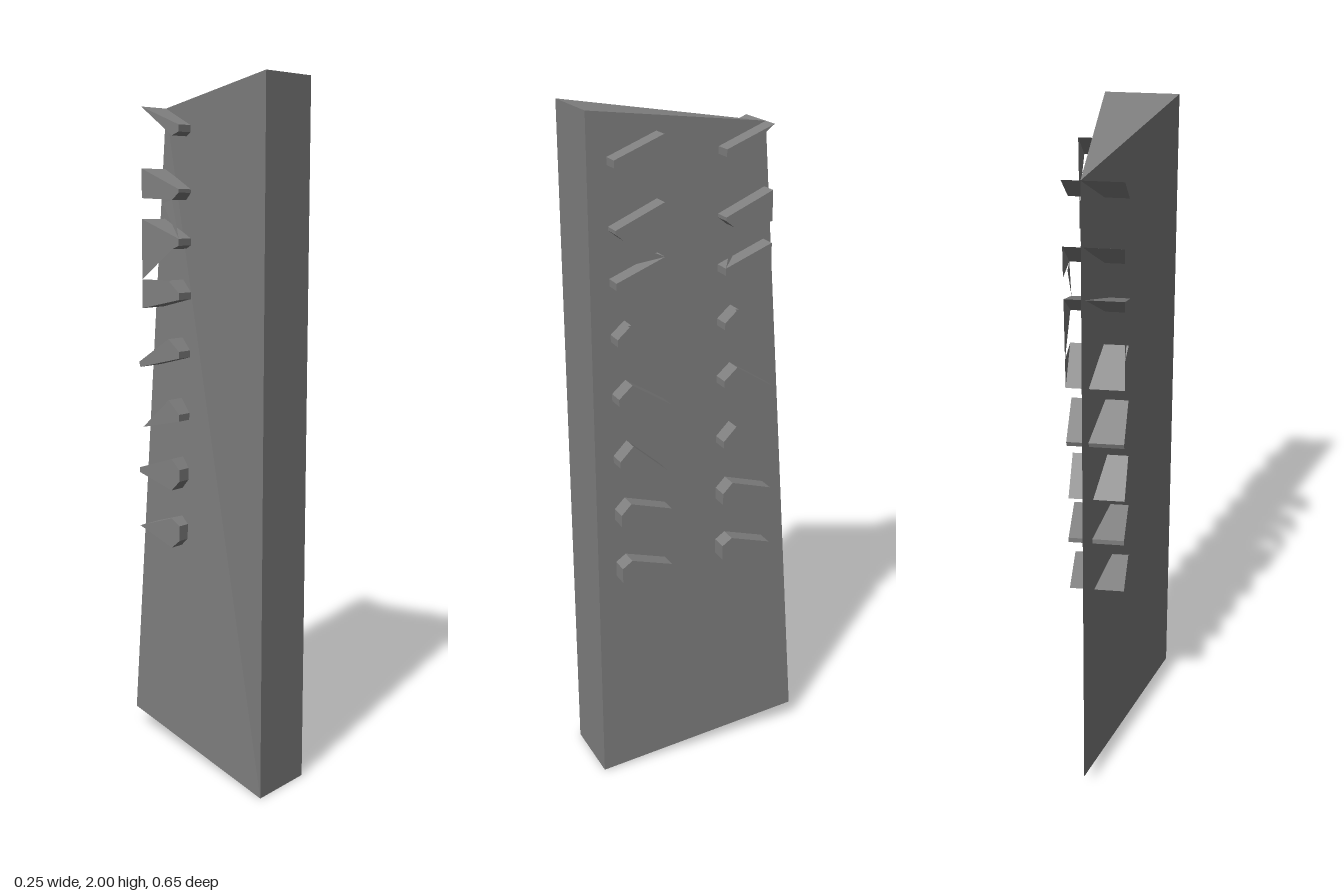
import * as THREE from 'three';

const stone = new THREE.MeshStandardMaterial({ color: 0x808080, side: THREE.DoubleSide });
stone.name = 'plain grey';

// Side outlines of the pegs as [z, y], top to bottom
const PEGS = [
  [[0.27, 1.88], [0.13, 1.935], [0.245, 1.85], [0.27, 1.86]],
  [[0.27, 1.70], [0.13, 1.76], [0.245, 1.67], [0.27, 1.69]],
  [[0.27, 1.56], [0.13, 1.615], [0.245, 1.53], [0.27, 1.54]],
  [[0.27, 1.405], [0.23, 1.44], [0.13, 1.355], [0.27, 1.385]],
  [[0.27, 1.235], [0.23, 1.27], [0.115, 1.195], [0.12, 1.18], [0.27, 1.215]],
  [[0.27, 1.05], [0.23, 1.09], [0.13, 1.0], [0.27, 1.03]],
  [[0.27, 0.885], [0.24, 0.915], [0.115, 0.875], [0.115, 0.86], [0.24, 0.82], [0.27, 0.85]],
  [[0.27, 0.715], [0.24, 0.735], [0.115, 0.695], [0.24, 0.645], [0.27, 0.67]],
];

// Flat triangular webs on the peg ends: shared, front row only, back row only
const WEBS = [
  [[0.245, 1.67], [0.13, 1.76], [0.13, 1.675]],
  [[0.24, 1.44], [0.13, 1.44], [0.13, 1.355]],
];
const FRONT_WEBS = [
  [[0.245, 1.85], [0.13, 1.935], [0.13, 1.76]],
  [[0.245, 1.67], [0.13, 1.615], [0.27, 1.60]],
];
const BACK_WEBS = [
  [[0.245, 1.67], [0.21, 1.66], [0.27, 1.56]],
  [[0.245, 1.53], [0.13, 1.615], [0.13, 1.44]],
];

const X0 = -0.033, X1 = 0.126;
const outline = (pts, dz) => new THREE.Shape(pts.map(([z, y]) => new THREE.Vector2(-z - dz, y)));

function addMesh(parent, name, geometry) {
  const mesh = new THREE.Mesh(geometry, stone);
  mesh.name = name;
  parent.add(mesh);
}

// Tapering wedge: broad front face, single sloping edge at the back
function bodyGeometry() {
  const v = [
    [-0.127, 2, 0.325], [0.077, 2, 0.325], [0.077, 1.935, -0.19],
    [-0.127, 0, 0.325], [0.077, 0, 0.325], [0.077, 0.055, -0.325],
  ];
  const faces = [
    [0, 1, 2], [3, 5, 4],            // top, bottom
    [3, 4, 1], [3, 1, 0],            // front
    [4, 5, 2], [4, 2, 1],            // model's left side
    [3, 0, 2], [3, 2, 5],            // slanting side
  ];
  const geo = new THREE.BufferGeometry();
  geo.setAttribute('position', new THREE.Float32BufferAttribute(faces.flat().flatMap(i => v[i]), 3));
  geo.computeVertexNormals();
  return geo;
}

function pegRow(name, dz, webs) {
  const row = new THREE.Group();
  row.name = name;
  for (const pts of PEGS) {
    const geo = new THREE.ExtrudeGeometry(outline(pts, dz), { depth: X1 - X0, bevelEnabled: false });
    addMesh(row, 'peg', geo.rotateY(Math.PI / 2).translate(X0, 0, 0));
  }
  for (const pts of webs) for (const x of [X0, X1]) {
    addMesh(row, 'pegWeb', new THREE.ShapeGeometry(outline(pts, dz)).rotateY(Math.PI / 2).translate(x, 0, 0));
  }
  return row;
}

export function createModel() {
  const model = new THREE.Group();
  model.name = 'peggedWedge';
  addMesh(model, 'wedgeBody', bodyGeometry());
  model.add(pegRow('frontPegRow', 0, [...WEBS, ...FRONT_WEBS]));
  model.add(pegRow('backPegRow', -0.32, [...WEBS, ...BACK_WEBS]));
  return model;
}
